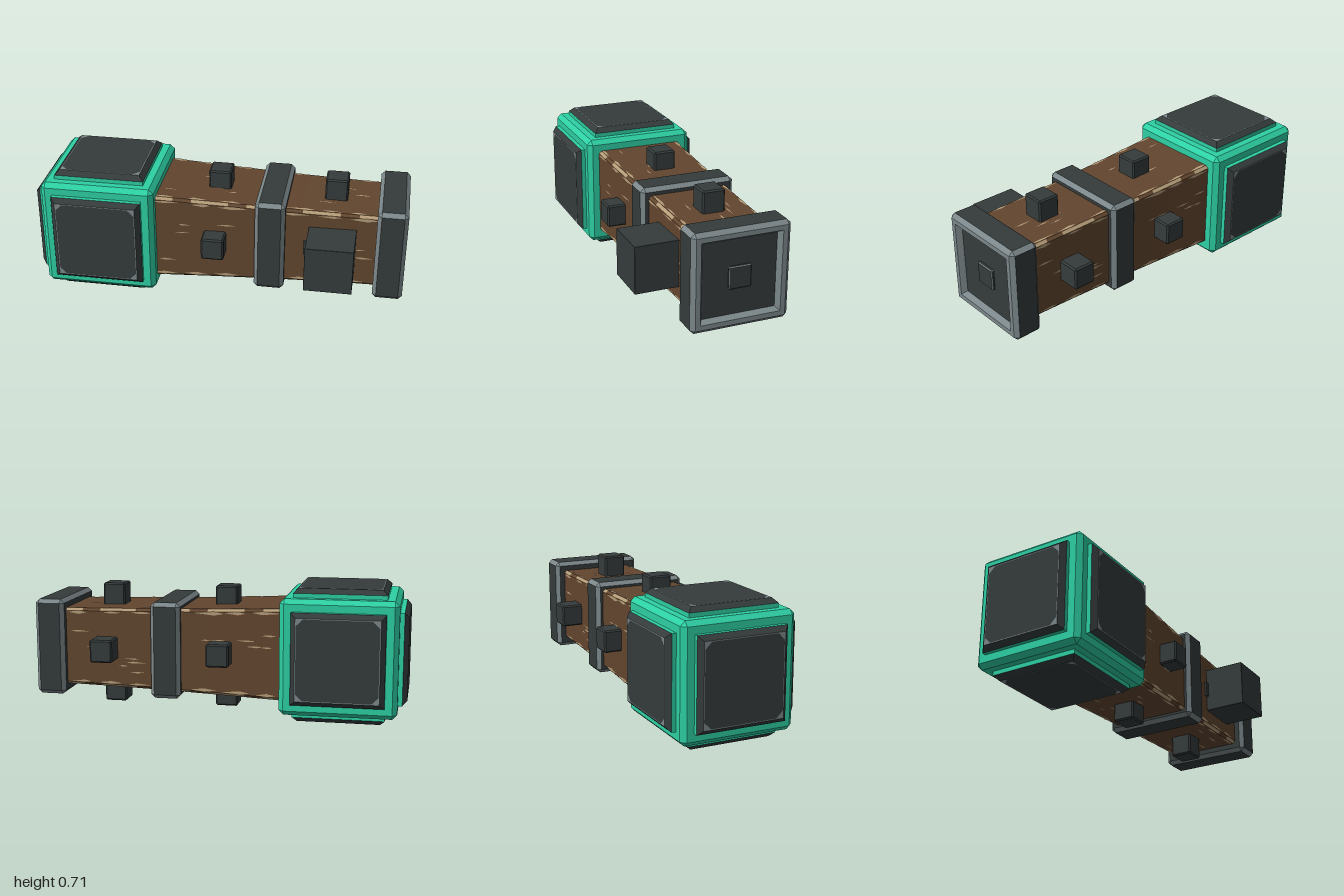
import * as THREE from 'three';

const GREEN = 0, DARK = 1, GREY = 2, BROWN = 3, TAN = 4;

export function createModel() {
  const mats = [
    ['green', 0x2dd0a4], ['darkIron', 0x353b3b], ['wornIron', 0x7b878a],
    ['wood', 0x62462f], ['wornWood', 0xb59c78],
  ].map(([name, color]) => {
    const m = new THREE.MeshStandardMaterial({ color });
    m.name = name;
    return m;
  });

  const model = new THREE.Group();
  model.name = 'hammer';
  const body = new THREE.Group();
  body.name = 'hammerBody';
  body.position.set(0, 0.355, -0.045);
  model.add(body);

  // Square outline with cut corners, in the plane at x
  const outline = ([x, half, cut = 0]) => {
    const pts = [];
    for (let i = 0; i < 4; i++) {
      const c = Math.round(Math.cos(i * Math.PI / 2)), s = Math.round(Math.sin(i * Math.PI / 2));
      for (const t of [cut - half, half - cut]) pts.push(new THREE.Vector3(x, half * c - t * s, half * s + t * c));
    }
    return pts;
  };

  // Solid along +x from sections [x, half, cut, side colour, corner colour]
  function loft(sections) {
    const buckets = mats.map(() => []);
    const area = new THREE.Triangle();
    for (let k = 0; k + 1 < sections.length; k++) {
      const [, , , side, corner = side] = sections[k];
      const a = outline(sections[k]), b = outline(sections[k + 1]);
      for (let j = 0; j < 8; j++) {
        const n = (j + 1) % 8;
        for (const tri of [[a[j], a[n], b[n]], [a[j], b[n], b[j]]]) {
          if (area.set(...tri).getArea() < 1e-9) continue;
          for (const p of tri) buckets[j % 2 ? corner : side].push(p.x, p.y, p.z);
        }
      }
    }
    const geo = new THREE.BufferGeometry();
    geo.setAttribute('position', new THREE.Float32BufferAttribute(buckets.flat(), 3));
    let start = 0;
    buckets.forEach((list, i) => {
      if (list.length) geo.addGroup(start, list.length / 3, i);
      start += list.length / 3;
    });
    geo.computeVertexNormals();
    return geo;
  }

  // Closed block with bevelled edges
  const block = (x0, x1, half, bevel, face, edge) => loft([
    [x0, 0, 0, face], [x0, half - bevel, 0, edge], [x0 + bevel, half, bevel, face, edge],
    [x1 - bevel, half, bevel, edge], [x1, half - bevel, 0, face], [x1, 0],
  ]);

  function add(name, geo, x = 0, turn = 0, material = mats) {
    const mesh = new THREE.Mesh(geo, material);
    mesh.name = name;
    mesh.position.x = x;
    mesh.rotation.x = turn * Math.PI / 2;
    body.add(mesh);
    return mesh;
  }
  const sides = ['top', 'front', 'bottom', 'back'];

  // Hammer head with a raised plate on each of its five free faces
  add('head', block(-0.952, -0.338, 0.307, 0.025, GREEN, GREEN));
  const plate = loft([
    [0.3, 0.243, 0, GREEN], [0.33, 0.243, 0, DARK], [0.355, 0.218, 0, GREY],
    [0.355, 0.213, 0.035, DARK], [0.355, 0],
  ]);
  const uprightPlate = plate.clone().rotateZ(Math.PI / 2);
  sides.forEach((side, i) => add(side + 'Plate', uprightPlate, -0.645, i));
  add('endPlate', plate.clone().rotateZ(Math.PI), -0.645);

  // Wooden handle, flared towards the head, with partly worn corners
  const handleHalf = (x) => 0.211 + 0.034 * Math.pow(Math.max(0, 0.85 - x) / 1.19, 1.4);
  const grain = [];
  for (let i = 0; i <= 12; i++) {
    const x = -0.345 + i * 0.0992;
    grain.push([x, handleHalf(x), 0.014, BROWN, i % 3 === 1 ? BROWN : TAN]);
  }
  add('handle', loft(grain));

  // Worn flecks lying on the wood
  let seed = 7;
  const rand = (lo, hi) => {
    seed = (seed * 16807) % 2147483647;
    return lo + (hi - lo) * seed / 2147483647;
  };
  sides.forEach((side, i) => {
    const pos = [];
    const fleck = (x, t, len, w) => {
      const at = (px, pz) => [px, handleHalf(px) + 0.002, pz];
      const a = at(x - len / 2, t), b = at(x + len / 2, t), mid = x + rand(-0.2, 0.2) * len;
      pos.push(...a, ...at(mid, t + w), ...b, ...a, ...b, ...at(mid, t - w));
    };
    for (const start of [-0.28, 0.42]) {
      for (let k = 0; k < 6; k++) fleck(start + rand(0, 0.36), rand(-0.16, 0.16), rand(0.05, 0.11), rand(0.003, 0.006));
      for (const edge of [-1, 1]) {
        for (let k = 0; k < 3; k++) {
          const x = start + k * 0.17 + rand(-0.02, 0.02);
          fleck(x, edge * (handleHalf(x) - 0.022), rand(0.1, 0.17), rand(0.006, 0.011));
        }
      }
    }
    const geo = new THREE.BufferGeometry();
    geo.setAttribute('position', new THREE.Float32BufferAttribute(pos, 3));
    geo.computeVertexNormals();
    add(side + 'WoodWear', geo, 0, i, mats[TAN]);
  });

  // Iron band around the middle of the handle
  add('handleBand', block(0.198, 0.36, 0.26, 0.021, DARK, GREY));

  // Pommel with a recessed end
  add('pommel', loft([
    [0.84, 0, 0, DARK], [0.84, 0.24, 0, GREY], [0.861, 0.261, 0.021, DARK, GREY],
    [0.979, 0.261, 0.021, GREY], [1, 0.24, 0, GREY], [1, 0.214, 0, GREY],
    [0.97, 0.197, 0, DARK], [0.97, 0],
  ]));
  add('pommelStud', block(0.93, 0.985, 0.059, 0.005, DARK, GREY));

  // Square studs on all sides, with a large block in place of one
  const stud = block(0.18, 0.332, 0.061, 0.008, DARK, DARK).rotateZ(Math.PI / 2);
  sides.forEach((side, i) => {
    add(side + 'HeadStud', stud, -0.0175, i);
    if (side !== 'front') add(side + 'PommelStud', stud, 0.6125, i);
  });
  add('frontBlock', block(0.2, 0.445, 0.126, 0.001, DARK, DARK).rotateZ(Math.PI / 2), 0.61, 1);
  const tab = add('blockTab', new THREE.BoxGeometry(0.06, 0.08, 0.03), 0.49, 0, mats[DARK]);
  tab.position.z = 0.215;

  return model;
}
